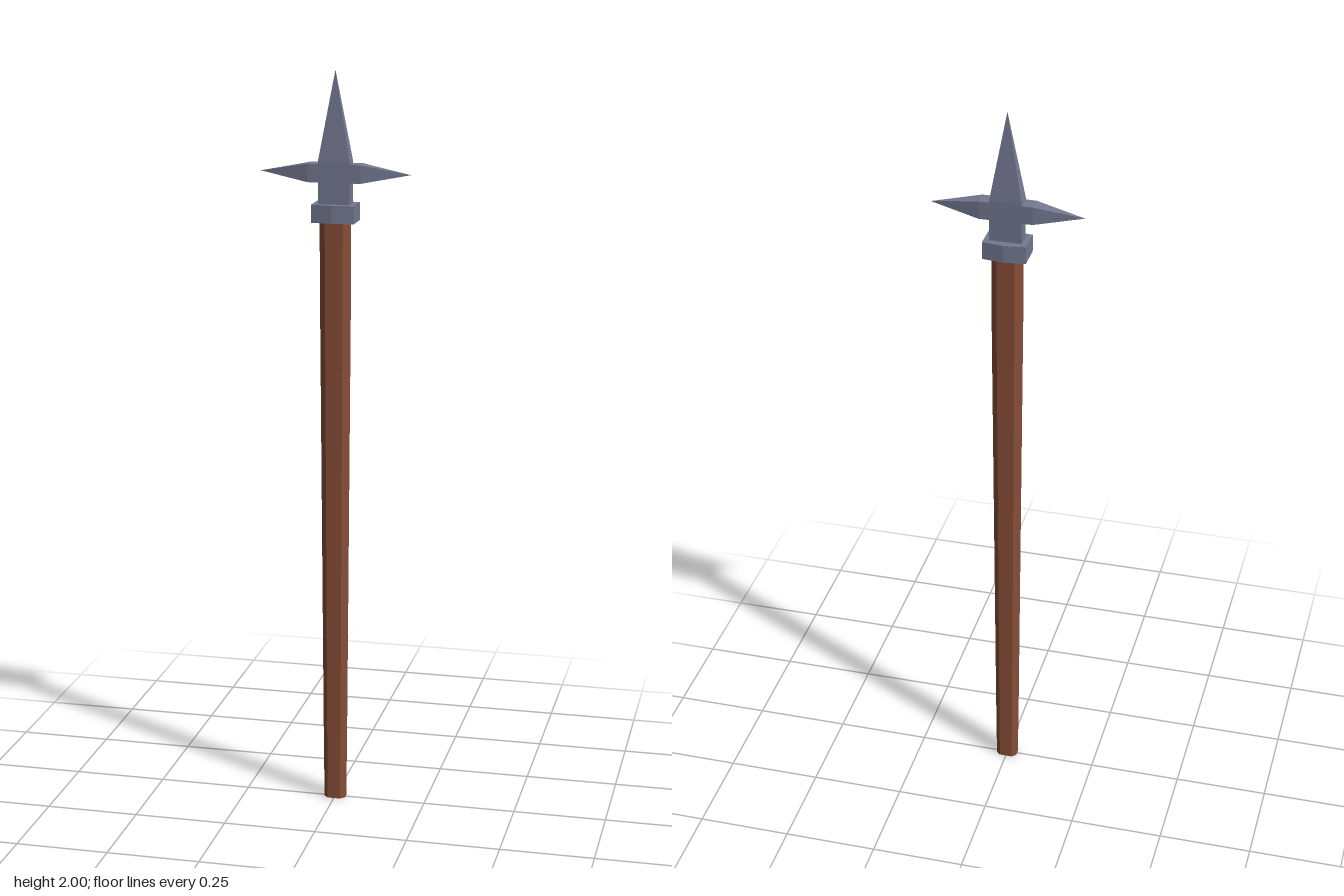
import * as THREE from 'three';

// Capped, flat-faced solid through rings: each ring is [y, outline of [x, z] points]
function loft(rings) {
  const pos = [];
  const n = rings[0][1].length;
  const at = (r, i) => [rings[r][1][i % n][0], rings[r][0], rings[r][1][i % n][1]];
  const tri = (a, b, c) => pos.push(...a, ...b, ...c);
  for (let r = 0; r < rings.length - 1; r++) {
    for (let i = 0; i < n; i++) {
      tri(at(r, i), at(r + 1, i), at(r + 1, i + 1));
      tri(at(r, i), at(r + 1, i + 1), at(r, i + 1));
    }
  }
  const last = rings.length - 1;
  for (let i = 1; i < n - 1; i++) {
    tri(at(0, 0), at(0, i), at(0, i + 1));
    tri(at(last, 0), at(last, i + 1), at(last, i));
  }
  const g = new THREE.BufferGeometry();
  g.setAttribute('position', new THREE.Float32BufferAttribute(pos, 3));
  g.computeVertexNormals();
  return g;
}

// Outlines run from +x towards +z
const rect = (x, z) => [[x, -z], [x, z], [-x, z], [-x, -z]];
const octagon = (x, z) => [
  [x, -z * 0.45], [x, z * 0.45], [x * 0.6, z], [-x * 0.6, z],
  [-x, z * 0.45], [-x, -z * 0.45], [-x * 0.6, -z], [x * 0.6, -z],
];
const collarOutline = [
  [0.057, -0.036], [0.057, 0.036], [0, 0.043],
  [-0.057, 0.036], [-0.057, -0.036], [0, -0.043],
];

export function createModel() {
  const model = new THREE.Group();
  model.name = 'polearm';
  const wood = new THREE.MeshStandardMaterial({ color: 0x8a5039 });
  wood.name = 'wood';
  const steel = new THREE.MeshStandardMaterial({ color: 0x757a92 });
  steel.name = 'steel';

  const add = (name, geometry, material) => {
    const mesh = new THREE.Mesh(geometry, material);
    mesh.name = name;
    model.add(mesh);
    return mesh;
  };

  // Faceted shaft, narrowing towards the foot
  const widths = [[0, 0.029], [0.2, 0.031], [0.62, 0.034], [1.04, 0.037], [1.46, 0.04], [1.62, 0.04]];
  add('shaft', loft(widths.map(([y, x]) => [y, octagon(x, 0.02)])), wood);

  // Collar with ridged front and back
  add('collar', loft([[1.608, collarOutline], [1.655, collarOutline]]), steel);

  // Neck rising into the pointed top blade
  add('topSpike', loft([
    [1.65, rect(0.042, 0.021)],
    [1.765, rect(0.042, 0.021)],
    [2.0, rect(0, 0)],
  ]), steel);

  // Mirrored side spikes, lofted upwards and laid over
  for (const side of [1, -1]) {
    const spike = add(side > 0 ? 'leftSpike' : 'rightSpike', loft([
      [0.04, rect(0.024, 0.0205)],
      [0.07, rect(0.024, 0.0205)],
      [0.2, rect(0, 0)],
    ]), steel);
    spike.rotation.z = -side * Math.PI / 2;
    spike.position.y = 1.735;
  }
  return model;
}
